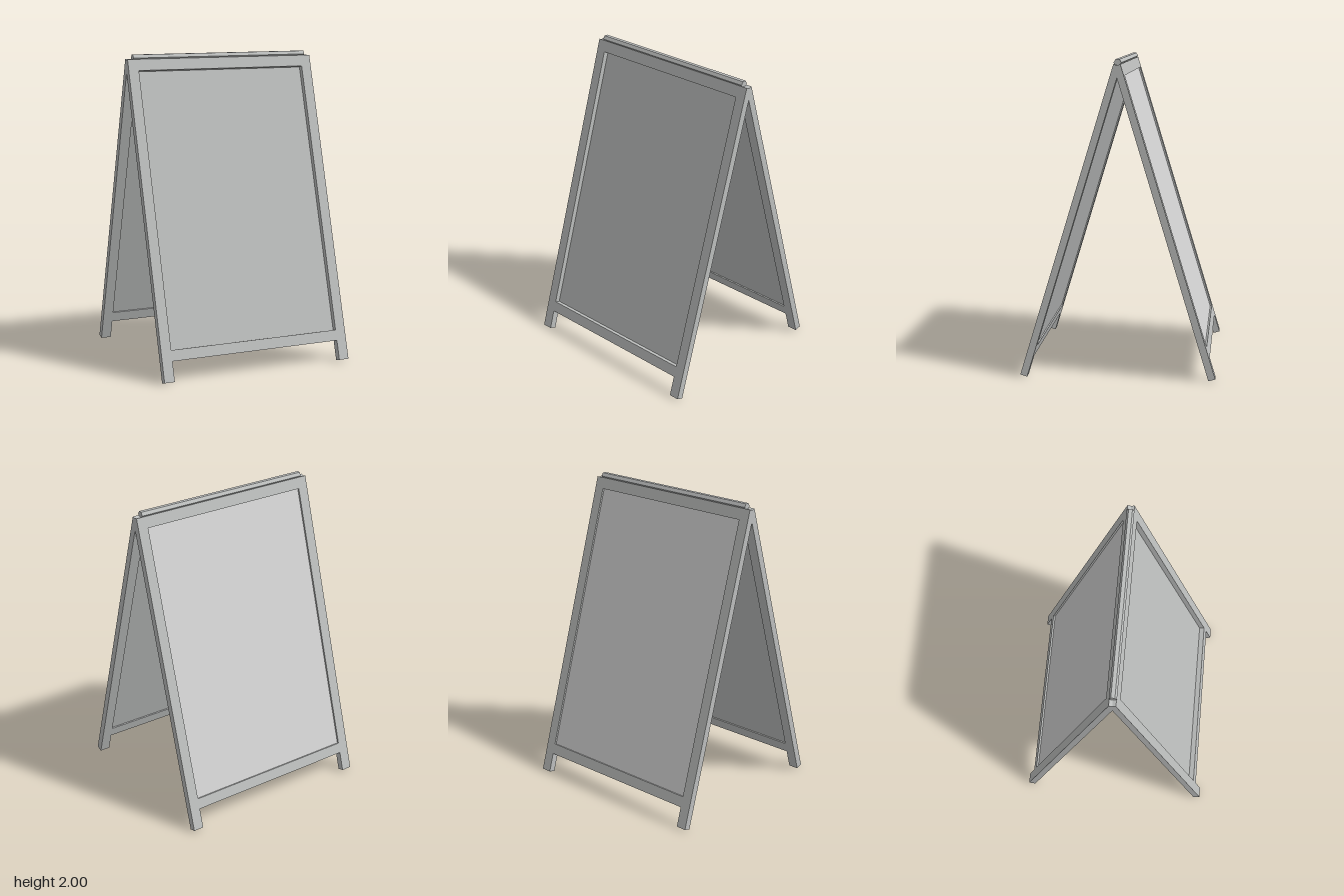
import * as THREE from 'three';

const frameGrey = new THREE.MeshStandardMaterial({ color: 0xbdbfbe });
frameGrey.name = 'frame grey';
const posterGrey = new THREE.MeshStandardMaterial({ color: 0xd3d3d3 });
posterGrey.name = 'poster light grey';

const LEAN = 0.295;      // lean of each board from vertical
const HINGE_Y = 1.964;   // height of the top of the boards
const LENGTH = 2.045;    // length of a leg
const DEPTH = 0.045;     // thickness of the frame
const OUTER = 0.65, INNER = 0.582;                      // outer and inner half widths
const TOP_RAIL = 0.073, PANEL_END = 1.848, RAIL_END = 1.917; // distances down from the top

// box given by x, distance down from the top, and outward z ranges
function slab(name, material, [x0, x1], [d0, d1], [z0, z1]) {
  const mesh = new THREE.Mesh(new THREE.BoxGeometry(x1 - x0, d1 - d0, z1 - z0), material);
  mesh.position.set((x0 + x1) / 2, -(d0 + d1) / 2, (z0 + z1) / 2);
  mesh.name = name;
  return mesh;
}

// one leaning board; local +z is its outward side
function createBoard(name, withPoster) {
  const board = new THREE.Group();
  board.name = name;
  const full = [-DEPTH / 2, DEPTH / 2];
  const span = [-INNER, INNER];
  board.add(
    slab('leftLeg', frameGrey, [INNER, OUTER], [0, LENGTH], full),
    slab('rightLeg', frameGrey, [-OUTER, -INNER], [0, LENGTH], full),
    slab('topRail', frameGrey, span, [0, TOP_RAIL], full),
    slab('bottomRail', frameGrey, span, [PANEL_END, RAIL_END], full),
    slab('panel', frameGrey, span, [TOP_RAIL, PANEL_END], [-0.0135, -0.0115])
  );
  // sheet filling most of the recess
  if (withPoster) board.add(slab('poster', posterGrey, span, [TOP_RAIL, PANEL_END], [-0.0115, 0.0105]));
  board.position.y = HINGE_Y;
  board.rotation.x = -LEAN;
  return board;
}

export function createModel() {
  const model = new THREE.Group();
  model.name = 'sandwichBoard';

  model.add(createBoard('frontBoard', false));
  const back = new THREE.Group();
  back.name = 'backSide';
  back.rotation.y = Math.PI;
  back.add(createBoard('backBoard', true));
  model.add(back);

  // hexagonal hinge rod along the top
  const rodGeometry = new THREE.CylinderGeometry(0.024, 0.024, 1.22, 6).toNonIndexed();
  rodGeometry.computeVertexNormals();
  const rod = new THREE.Mesh(rodGeometry, frameGrey);
  rod.name = 'hingeRod';
  rod.rotation.z = Math.PI / 2;
  rod.position.y = 1.979;
  model.add(rod);

  return model;
}
